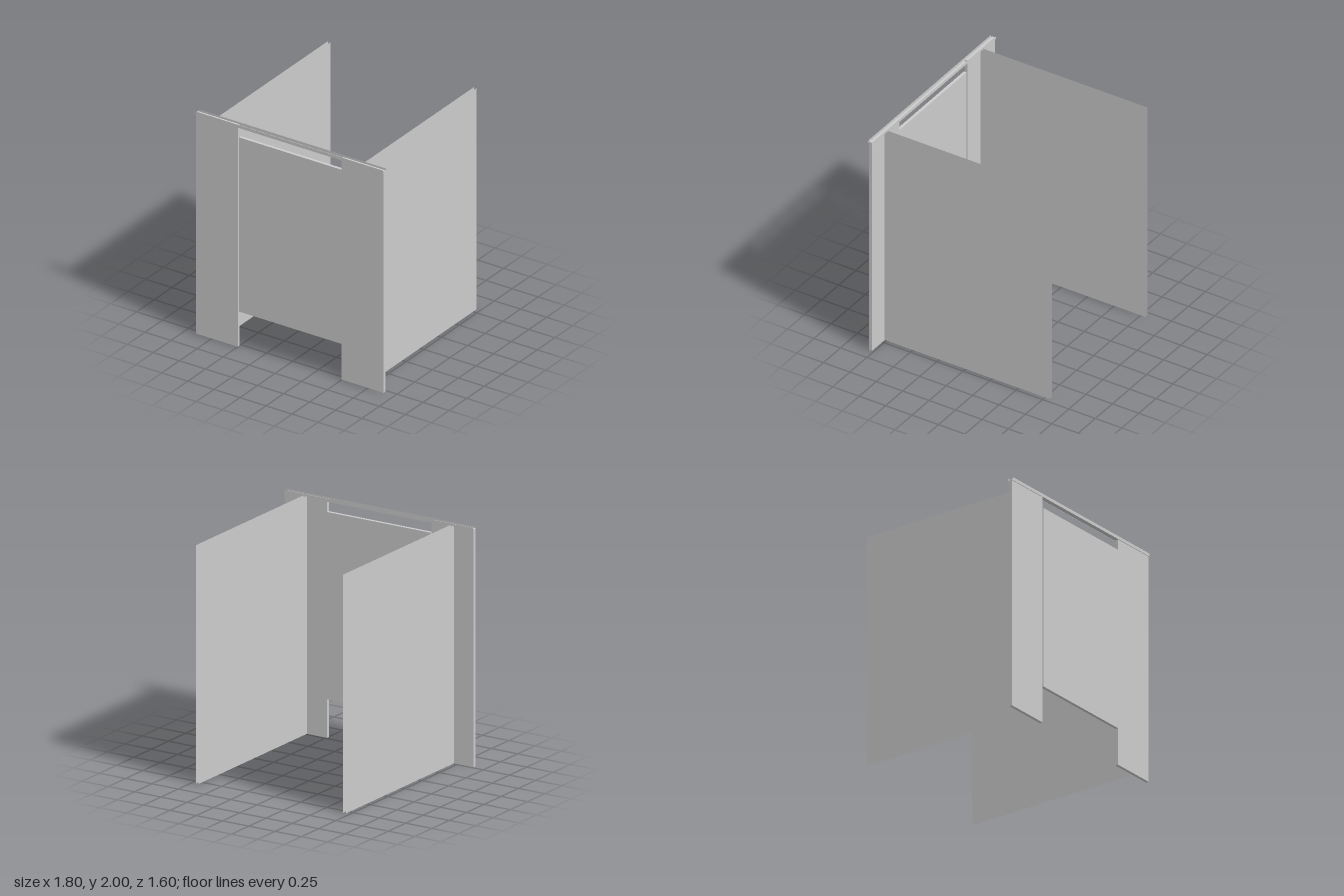
import * as THREE from 'three';

const T = 0.026; // board thickness
const Z = 0.779; // centre plane of the front boards

export function createModel() {
  const group = new THREE.Group();
  const solid = new THREE.MeshStandardMaterial({ color: 0xcccccc, flatShading: true });
  const sheet = new THREE.MeshStandardMaterial({ color: 0xcccccc, flatShading: true, side: THREE.DoubleSide });

  // Board given by its x and y limits, lying in the front plane
  const board = (name, x0, x1, y0, y1) => {
    const m = new THREE.Mesh(new THREE.BoxGeometry(x1 - x0, y1 - y0, T), solid);
    m.position.set((x0 + x1) / 2, (y0 + y1) / 2, Z);
    m.name = name;
    group.add(m);
  };
  // Thin sheet without edges
  const addSheet = (parent, name, w, h, pos, rx, ry) => {
    const m = new THREE.Mesh(new THREE.PlaneGeometry(w, h), sheet);
    m.position.set(...pos);
    m.rotation.set(rx, ry, 0);
    m.name = name;
    parent.add(m);
  };

  // Front posts and door
  board('rightPost', -0.9, -0.5, 0, 1.988);
  board('leftPost', 0.495, 0.9, 0, 1.988);
  board('door', -0.487, 0.495, 0.32, 1.885);

  // Side partitions: a pair of facing sheets each, centred on the posts
  const front = Z - T / 2, back = -0.8;
  for (const s of [-1, 1]) {
    const wall = new THREE.Group();
    wall.name = s > 0 ? 'leftPartition' : 'rightPartition';
    for (const d of [-1, 1]) {
      addSheet(wall, 'partitionFace', front - back, 1.988,
        [s * 0.7 + d * T / 2, 0.994, (front + back) / 2], 0, d * Math.PI / 2);
    }
    group.add(wall);
  }

  // Head rail: open channel across the top of the posts
  const rail = new THREE.Group();
  rail.name = 'headRail';
  for (const z of [0.757, 0.8]) addSheet(rail, 'railFlange', 1.8, 0.027, [0, 1.9865, z], 0, 0);
  addSheet(rail, 'railWeb', 1.8, 0.043, [0, 1.975, 0.7785], -Math.PI / 2, 0);
  group.add(rail);

  return group;
}
